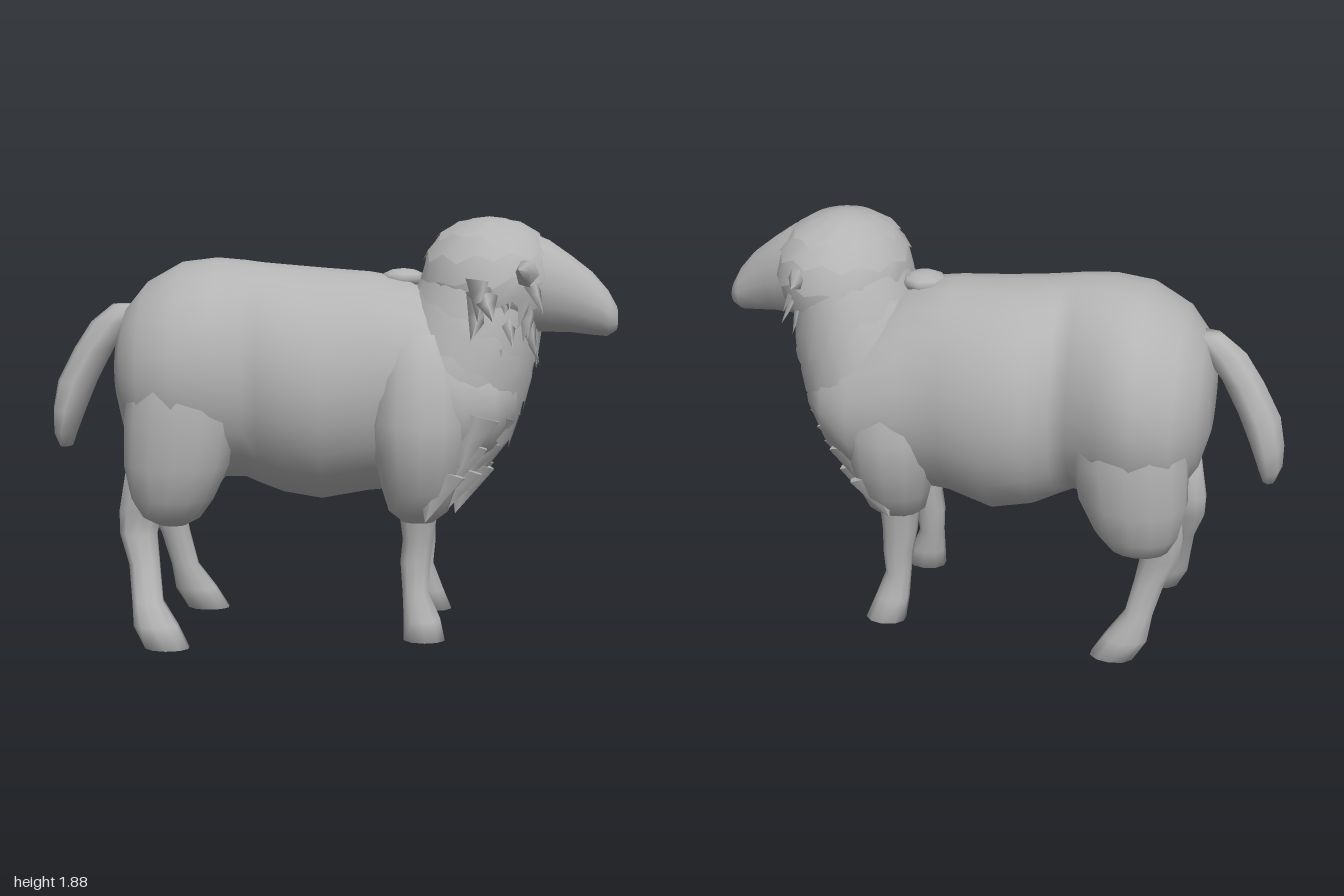
import * as THREE from 'three';

const wool = new THREE.MeshStandardMaterial({ color: 0xb4b4b4, side: THREE.DoubleSide });
wool.name = 'grey wool';

let seed = 7;
const rnd = () => (seed = (seed * 16807) % 2147483647) / 2147483647;

// Builds a skin over rings of points; closed ends get a centre point.
function skin(rings, capped = true) {
  const n = rings[0].length, pos = [], idx = [];
  rings.forEach(r => r.forEach(p => pos.push(...p)));
  for (let i = 0; i < rings.length - 1; i++) for (let j = 0; j < n; j++) {
    const k = (j + 1) % n, a = i * n + j, b = i * n + k, c = a + n, d = b + n;
    idx.push(a, b, d, a, d, c);
  }
  if (capped) [0, rings.length - 1].forEach(i => {
    const mid = [0, 1, 2].map(q => rings[i].reduce((s, p) => s + p[q], 0) / n);
    const m = pos.length / 3;
    pos.push(...mid);
    for (let j = 0; j < n; j++) {
      const a = i * n + j, b = i * n + (j + 1) % n;
      idx.push(...(i ? [a, b, m] : [b, a, m]));
    }
  });
  const g = new THREE.BufferGeometry();
  g.setAttribute('position', new THREE.Float32BufferAttribute(pos, 3));
  g.setIndex(idx);
  g.computeVertexNormals();
  return g;
}

const turn = (n, f) => Array.from({ length: n }, (_, j) => f(j / n * Math.PI * 2, j));
// Horizontal rings: [x, y, z, radius x, radius z], listed upwards.
const upright = (s, n = 10) => skin(s.map(([x, y, z, a, b]) =>
  turn(n, t => [x + a * Math.cos(t), y, z - b * Math.sin(t)])));
// Rings facing forward: [z, x, bottom, top, half width], listed forwards.
const lengthwise = (s, n = 20) => skin(s.map(([z, x, lo, hi, a]) =>
  turn(n, t => [x + a * Math.cos(t), (lo + hi) / 2 + (hi - lo) / 2 * Math.sin(t), z])));
// Rings across the sloping neck: [y, z, half width, radius].
const neckRing = ([y, z, a, r], n, jag = 0) => turn(n, (t, j) => {
  const k = jag * ((j % 2) * 0.7 + rnd() * 0.6), s = Math.sin(t);
  return [a * Math.cos(t), y + 0.56 * r * s - k, z - 0.83 * r * s - k * 0.35];
});
// Ring around the woolly head at an elevation, swollen by k.
const HEAD = [-0.02, 1.61, 0.705], SIZE = [0.315, 0.265, 0.285];
const headRing = (el, k, jag = 0) => turn(22, (t, j) => {
  const e = el - jag * ((j % 2) * 0.7 + rnd() * 0.6);
  return [HEAD[0] + SIZE[0] * k * Math.cos(e) * Math.cos(t), HEAD[1] + SIZE[1] * k * Math.sin(e),
    HEAD[2] - SIZE[2] * k * Math.cos(e) * Math.sin(t)];
});

export function createModel() {
  const model = new THREE.Group();
  const sheep = new THREE.Group();
  sheep.name = 'sheep';
  sheep.rotation.y = Math.PI / 4;
  model.add(sheep);

  const add = (name, geo) => {
    const m = new THREE.Mesh(geo, wool);
    m.name = name;
    sheep.add(m);
    return m;
  };
  // Pointed tuft from a root to a tip, its flat side facing away from the neck.
  const spike = (name, from, to, r, flat = 0.5, sides = 4) => {
    const a = new THREE.Vector3(...from), b = new THREE.Vector3(...to);
    const m = add(name, new THREE.ConeGeometry(r, a.distanceTo(b), sides, 2));
    m.scale.z = flat;
    m.position.copy(a).add(b).multiplyScalar(0.5);
    const up = b.sub(a).normalize();
    const side = up.clone().cross(new THREE.Vector3(from[0], 0, from[2] - 0.6)).normalize();
    m.quaternion.setFromRotationMatrix(new THREE.Matrix4().makeBasis(side, up, side.clone().cross(up)));
  };

  // Torso: broad rump, waist, round belly and blunt chest
  add('torso', lengthwise([
    [-0.95, 0.06, 1.03, 1.36, 0.18], [-0.91, 0.06, 0.88, 1.47, 0.3], [-0.82, 0.06, 0.74, 1.58, 0.425],
    [-0.66, 0.06, 0.69, 1.67, 0.49], [-0.5, 0.05, 0.7, 1.69, 0.465], [-0.37, 0.025, 0.7, 1.68, 0.385],
    [-0.3, 0.03, 0.67, 1.67, 0.41], [-0.2, 0.05, 0.63, 1.66, 0.46], [-0.03, 0.06, 0.6, 1.645, 0.48],
    [0.18, 0.04, 0.64, 1.63, 0.41], [0.36, 0.03, 0.66, 1.6, 0.43], [0.58, 0.02, 0.69, 1.45, 0.43],
    [0.72, 0.01, 0.8, 1.36, 0.37], [0.82, 0, 0.95, 1.25, 0.25],
  ], 24));

  // Thighs and shoulders
  for (const s of [-1, 1]) {
    add('thigh', upright([
      [0.05 + s * 0.25, 0.52, -0.69, 0.04, 0.06], [0.05 + s * 0.265, 0.56, -0.69, 0.1, 0.13],
      [0.05 + s * 0.28, 0.65, -0.68, 0.15, 0.185], [0.05 + s * 0.285, 0.8, -0.66, 0.18, 0.235],
      [0.05 + s * 0.29, 1.0, -0.64, 0.185, 0.25], [0.05 + s * 0.28, 1.22, -0.63, 0.175, 0.23],
      [0.05 + s * 0.21, 1.45, -0.62, 0.15, 0.18],
    ], 14));
    const x = s < 0 ? -0.02 : 0.02, z = s < 0 ? 0.4 : 0.42;
    add('shoulder', upright([
      [x + s * 0.21, 0.55, z, 0.05, 0.07], [x + s * 0.225, 0.6, z, 0.1, 0.13],
      [x + s * 0.25, 0.7, z, 0.14, 0.16], [x + s * 0.275, 0.84, z, 0.165, 0.19],
      [x + s * 0.285, 1.0, z, 0.175, 0.21], [x + s * 0.255, 1.2, z, 0.16, 0.19],
      [x + s * 0.2, 1.38, z - 0.02, 0.12, 0.14],
    ], 12));
  }

  // Legs, each listed from the hoof upwards
  const legs = {
    rightHindLeg: [[-0.35, 0, -0.7, 0.065, 0.1], [-0.34, 0.1, -0.75, 0.07, 0.1], [-0.3, 0.2, -0.79, 0.055, 0.07],
      [-0.24, 0.35, -0.81, 0.05, 0.07], [-0.2, 0.48, -0.84, 0.06, 0.085], [-0.18, 0.58, -0.83, 0.07, 0.1], [-0.2, 0.8, -0.75, 0.1, 0.14]],
    leftHindLeg: [[0.33, 0, -0.59, 0.065, 0.1], [0.32, 0.1, -0.65, 0.07, 0.1], [0.3, 0.22, -0.7, 0.055, 0.065],
      [0.28, 0.38, -0.74, 0.05, 0.07], [0.27, 0.5, -0.78, 0.06, 0.09], [0.27, 0.6, -0.78, 0.075, 0.1], [0.28, 0.8, -0.72, 0.1, 0.14]],
    rightFrontLeg: [[-0.25, 0.02, 0.43, 0.07, 0.095], [-0.24, 0.11, 0.42, 0.07, 0.085], [-0.21, 0.23, 0.39, 0.055, 0.06],
      [-0.195, 0.36, 0.39, 0.06, 0.07], [-0.19, 0.46, 0.4, 0.06, 0.07], [-0.2, 0.6, 0.4, 0.08, 0.09], [-0.22, 0.8, 0.4, 0.1, 0.12]],
    leftFrontLeg: [[0.28, 0.02, 0.48, 0.07, 0.095], [0.25, 0.12, 0.455, 0.065, 0.08], [0.24, 0.25, 0.425, 0.05, 0.06],
      [0.235, 0.36, 0.425, 0.06, 0.07], [0.23, 0.46, 0.415, 0.065, 0.08], [0.23, 0.6, 0.41, 0.08, 0.095], [0.24, 0.8, 0.4, 0.1, 0.12]],
  };
  for (const [name, s] of Object.entries(legs)) add(name, upright(s));

  // Tail, arching out and hanging down
  add('tail', upright([
    [0.07, 0.83, -1.21, 0.05, 0.03], [0.07, 0.9, -1.21, 0.11, 0.055], [0.07, 1.0, -1.19, 0.13, 0.075],
    [0.07, 1.13, -1.15, 0.12, 0.09], [0.065, 1.28, -1.07, 0.095, 0.09], [0.06, 1.4, -0.98, 0.08, 0.1],
    [0.06, 1.48, -0.9, 0.055, 0.08],
  ], 8));

  // Neck with overlapping ragged collars
  const neck = [[1.12, 0.53, 0.38, 0.34], [1.28, 0.61, 0.365, 0.32], [1.42, 0.66, 0.34, 0.3], [1.58, 0.7, 0.3, 0.26]];
  add('neck', skin(neck.map(r => neckRing(r, 20))));
  for (let i = 0; i < 3; i++) {
    const [y, z, a, r] = neck[i], top = neck[i + 1];
    add('woolCollar', skin([
      neckRing([y, z, a + 0.02, r + 0.02], 26, 0.06),
      neckRing([(y + top[0]) / 2, (z + top[1]) / 2, (a + top[2]) / 2 + 0.015, (r + top[3]) / 2 + 0.015], 26),
      neckRing(top, 26),
    ], false));
  }
  const tuft = add('napeTuft', new THREE.SphereGeometry(0.1, 8, 6));
  tuft.scale.y = 0.45;
  tuft.position.set(0.03, 1.6, 0.33);

  // Fringe of broad hanging locks across the chest
  for (let row = 0; row < 3; row++) for (let i = 0; i < 8; i++) {
    const t = (i + 0.5 + (rnd() - 0.5) * 0.5) / 8 * 2 - 1;
    const y = 1.04 - row * 0.12, z = 0.8 - row * 0.07 - 0.2 * t * t, x = t * 0.39;
    spike('chestLock', [x, y, z], [x * 1.03, y - 0.2 - rnd() * 0.05, z - 0.07], 0.12, 0.4, 6);
  }

  // Woolly head in overlapping ragged layers
  const cap = add('headWool', new THREE.SphereGeometry(1, 18, 12));
  cap.scale.set(...SIZE);
  cap.position.set(...HEAD);
  for (const el of [-0.3, 0.08, 0.46, 0.84])
    add('headFleece', skin([headRing(el, 1.06, 0.2), headRing(el + 0.25, 1.03), headRing(el + 0.6, 0.98)], false));

  // Face: long muzzle sloping forward and down
  const HX = -0.04;
  add('face', lengthwise([
    [0.74, HX, 1.37, 1.82, 0.2], [0.86, HX - 0.01, 1.37, 1.82, 0.2], [0.96, HX - 0.02, 1.37, 1.78, 0.175],
    [1.06, HX - 0.03, 1.37, 1.71, 0.14], [1.15, HX - 0.04, 1.36, 1.64, 0.11], [1.22, HX - 0.045, 1.355, 1.56, 0.095],
    [1.26, HX - 0.045, 1.38, 1.49, 0.065],
  ], 14));

  for (const s of [-1, 1]) {
    // Ears pointing sideways
    spike('ear', [HX + s * 0.17, 1.63, 0.86], [HX + s * 0.49, 1.67, 0.79], 0.085, 0.7, 6);
    // Shaggy locks on the cheeks and jaw
    for (let i = 0; i < 15; i++) {
      const row = i % 5, col = Math.floor(i / 5), y = 1.6 - row * 0.045 + rnd() * 0.03;
      const x = HX + s * (0.29 - col * 0.04 - row * 0.012), z = 0.66 + col * 0.1;
      spike('cheekLock', [x, y, z], [x + s * (0.03 + rnd() * 0.08), y - 0.13 - rnd() * 0.05, z + (rnd() - 0.5) * 0.12], 0.075, 0.35);
    }
  }
  // Beard under the jaw
  for (let i = 0; i < 5; i++) {
    const x = HX + (i - 2) * 0.07;
    spike('beardLock', [x, 1.42, 0.92 - Math.abs(i - 2) * 0.03], [x, 1.24 - rnd() * 0.05, 0.92], 0.065, 0.4);
  }
  return model;
}
